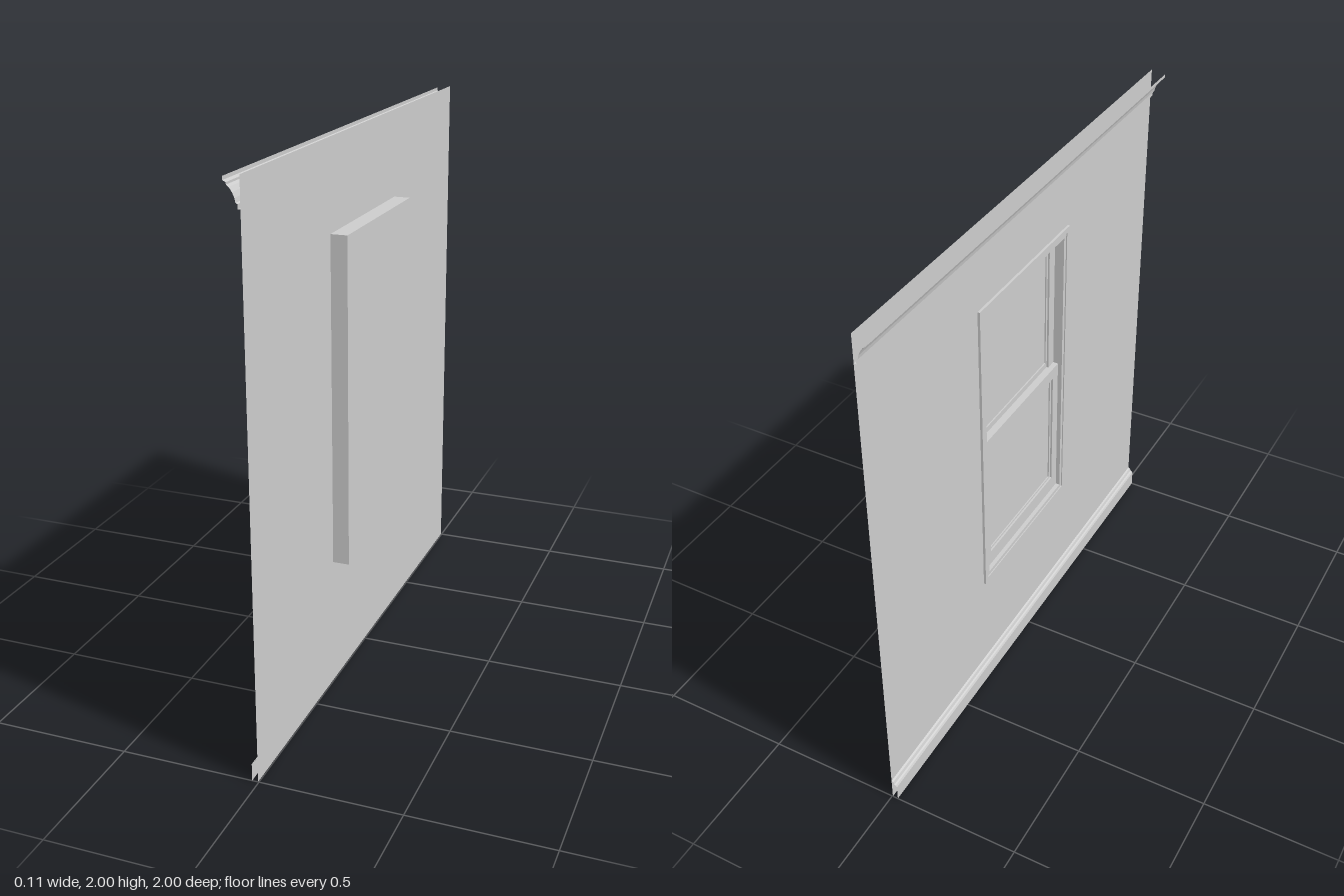
import * as THREE from 'three';

const material = new THREE.MeshStandardMaterial({ color: 0xcccccc, side: THREE.DoubleSide, flatShading: true });
const WALL_X = -0.003;
const WINDOW = { w: 0.64, h: 1.2, y: 1.08 };

// Rectangular outline in the wall plane, centred on z = 0 and height y
function rect(Type, w, h, y) {
  return new Type([[-w, -h], [w, -h], [w, h], [-w, h]]
    .map(([a, b]) => new THREE.Vector2(a / 2, y + b / 2)));
}

function ring(w, h, y, border) {
  const shape = rect(THREE.Shape, w, h, y);
  const [side, bottom = side, top = side] = border;
  const hole = rect(THREE.Path, w - 2 * side, h - bottom - top, y + (bottom - top) / 2);
  shape.holes.push(hole);
  return shape;
}

function add(group, name, geometry) {
  const mesh = new THREE.Mesh(geometry, material);
  mesh.name = name;
  group.add(mesh);
}

// Frame between two depths x0 and x1
function frame(group, name, w, h, y, border, x0, x1) {
  const geometry = new THREE.ExtrudeGeometry(ring(w, h, y, border), { depth: x1 - x0, bevelEnabled: false });
  geometry.rotateY(Math.PI / 2).translate(x0, 0, 0);
  add(group, name, geometry);
}

function panel(group, name, w, h, y, x) {
  add(group, name, new THREE.PlaneGeometry(w, h).rotateY(Math.PI / 2).translate(x, y, 0));
}

// Open moulding: an (x, y) profile swept along the wall
function moulding(group, name, profile) {
  const positions = [];
  for (let i = 0; i < profile.length - 1; i++) {
    const [a, b] = [profile[i], profile[i + 1]];
    positions.push(
      ...a, -1, ...a, 1, ...b, 1,
      ...a, -1, ...b, 1, ...b, -1);
  }
  const geometry = new THREE.BufferGeometry();
  geometry.setAttribute('position', new THREE.Float32BufferAttribute(positions, 3));
  geometry.computeVertexNormals();
  add(group, name, geometry);
}

export function createModel() {
  const model = new THREE.Group();
  model.name = 'wallWithWindow';

  // Thin wall sheet with the window opening
  const opening = WINDOW.w - 0.05;
  const wall = new THREE.Shape([[-1, 0], [1, 0], [1, 2], [-1, 2]].map(p => new THREE.Vector2(...p)));
  wall.holes.push(rect(THREE.Path, opening, WINDOW.h - 0.05, WINDOW.y));
  add(model, 'wall', new THREE.ShapeGeometry(wall).rotateY(Math.PI / 2).translate(WALL_X, 0, 0));

  // Crown moulding, open at the top and ends
  moulding(model, 'crownMoulding', [
    [WALL_X, 1.9], [-0.012, 1.9], [-0.012, 1.915], [-0.018, 1.918], [-0.021, 1.932],
    [-0.028, 1.948], [-0.038, 1.962], [-0.046, 1.968], [-0.046, 1.975], [-0.057, 1.98], [-0.057, 1.992],
  ]);

  // Baseboard with a sloping, stepped top
  moulding(model, 'baseboard', [
    [-0.024, 0], [-0.024, 0.063], [-0.02, 0.07], [-0.014, 0.073], [-0.01, 0.084], [WALL_X, 0.087],
  ]);

  // Window: casing, jamb box, back and two sliding sashes
  const win = new THREE.Group();
  win.name = 'window';
  model.add(win);
  const { w, h, y } = WINDOW;
  frame(win, 'casing', w, h, y, [0.02], -0.012, 0);
  frame(win, 'casingStep', w - 0.03, h - 0.03, y, [0.02], -0.008, 0.004);
  frame(win, 'jambBox', w, h, y, [0.035], 0, 0.057);
  panel(win, 'outerBack', w, h, y, 0.057);

  const innerW = w - 0.07, innerH = h - 0.07, rail = 0.045;
  const sashH = (innerH + rail) / 2;
  const sashes = [
    { name: 'lowerSash', y: y - (innerH - sashH) / 2, x: 0.008, border: [0.04, 0.06, rail] },
    { name: 'upperSash', y: y + (innerH - sashH) / 2, x: 0.028, border: [0.04, rail, 0.04] },
  ];
  for (const sash of sashes) {
    frame(win, sash.name, innerW, sashH, sash.y, sash.border, sash.x, sash.x + 0.02);
    frame(win, sash.name + 'Bead', innerW - 0.07, sashH - 0.075, sash.y, [0.015, 0.03, 0.02], sash.x + 0.007, sash.x + 0.014);
    panel(win, sash.name + 'Pane', innerW - 0.04, sashH - 0.04, sash.y, sash.x + 0.012);
  }
  return model;
}
